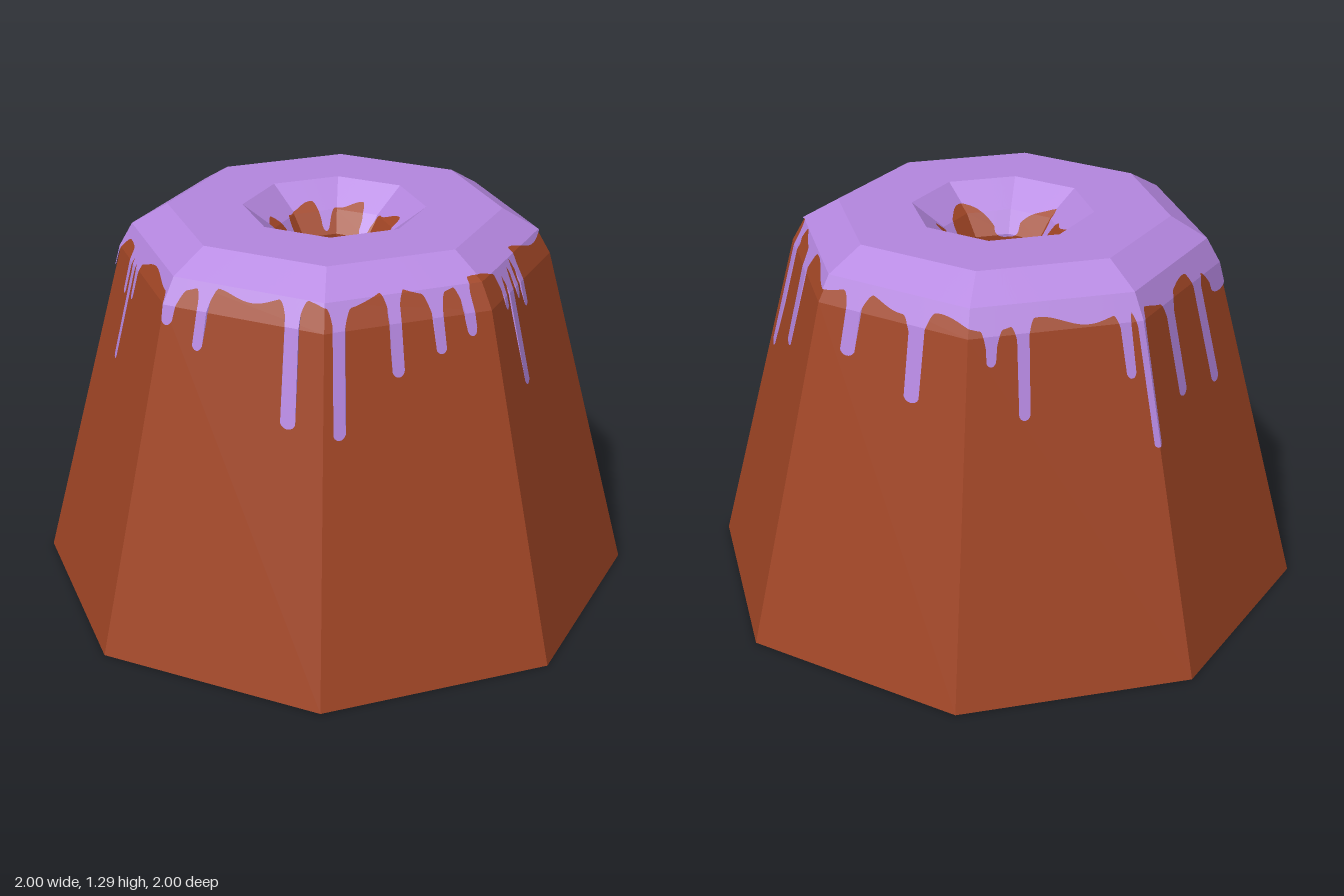
import * as THREE from 'three';

const SIDES = 8;
const TURN = 7.4; // degrees, twist of the octagon
const rad = THREE.MathUtils.degToRad;

// Profiles as [radius, height], from the top down
const OUTER = [[0.545, 1.29], [0.665, 1.22], [0.71, 1.14], [1.0085, 0]];
const INNER = [[0.305, 1.29], [0.2, 1.21], [0.15, 1.14], [0.12, 0]];

// Drips as [angle, half width in degrees, lowest height]; angle 0 is the front, 90 is +x
const OUTER_DRIPS = [
  [1.6, 1.3, 1.07], [16.5, 1.1, 1.1], [20.8, 1.5, 0.84], [25, 0.9, 1.1], [29, 1.3, 1.06],
  [58, 1.7, 0.78], [75, 2.6, 0.88], [108, 2.3, 1.0], [128, 2.3, 0.91], [148, 1.3, 1.05],
  [156, 1.5, 0.88], [183, 1.2, 0.97], [187, 1.1, 0.75], [201, 2, 0.84], [218, 2, 0.8],
  [229, 4, 1.06], [244.5, 1, 1.03], [248, 1, 0.82], [251.5, 1, 1.04], [279, 1.5, 1.08],
  [288, 1.5, 1.02], [314, 2, 0.84], [326, 1.5, 0.82], [341, 1.7, 0.98], [353, 1.6, 1.03],
];
const INNER_DRIPS = [
  [48, 7, 1.12], [105, 6, 1.14], [155, 5, 1.15], [210, 6, 1.14], [265, 6, 1.12], [325, 16, 1.13],
];

const outerBase = (a) => 1.19 + 0.03 * Math.cos(rad(a - 10)) + 0.015 * Math.sin(rad(a * 14));
const innerBase = (a) => 1.225 + 0.012 * Math.sin(rad(a * 7));

// Lower edge of the icing at an angle: round drip tips with flared roots
function edgeHeight(angle, base, drips) {
  const top = base(angle);
  let y = top;
  for (const [a, half, low] of drips) {
    const d = Math.abs(((angle - a + 540) % 360) - 180) / half;
    if (d <= 1) y = Math.min(y, low + 0.025 * (1 - Math.sqrt(1 - d * d)));
    else if (d < 2.2) y = Math.min(y, top - 0.05 * ((2.2 - d) / 1.2) ** 2);
  }
  return y;
}

// Point on the eight-sided surface at an angle and height
function surfacePoint(profile, angle, y, lift) {
  let k = 0;
  while (k < profile.length - 2 && y < profile[k + 1][1]) k++;
  const [r0, y0] = profile[k], [r1, y1] = profile[k + 1];
  const vertexRadius = r0 + (r1 - r0) * (y0 - y) / (y0 - y1) + lift;
  const step = 360 / SIDES;
  const off = ((angle - TURN + 720) % step) - step / 2;
  const r = vertexRadius * Math.cos(rad(step / 2)) / Math.cos(rad(off));
  return new THREE.Vector3(r * Math.sin(rad(angle)), y + 0.003, r * Math.cos(rad(angle)));
}

// Icing skin in narrow columns, running from the top rim to the drip edge
function icingSkin(profile, base, drips, lift) {
  const positions = [];
  const delta = 0.25;
  const tri = (a, b, c) => {
    const area = b.clone().sub(a).cross(c.clone().sub(a)).length();
    if (area < 1e-9) return;
    for (const p of lift > 0 ? [a, b, c] : [a, c, b]) positions.push(p.x, p.y, p.z);
  };
  const column = (angle) => {
    const low = edgeHeight(angle, base, drips);
    return profile.map(([, y]) => surfacePoint(profile, angle, Math.max(y, low), lift));
  };
  let left = column(TURN);
  for (let i = 1; i <= 360 / delta; i++) {
    const right = column(TURN + i * delta);
    for (let k = 0; k < profile.length - 1; k++) {
      tri(left[k], left[k + 1], right[k + 1]);
      tri(left[k], right[k + 1], right[k]);
    }
    left = right;
  }
  const g = new THREE.BufferGeometry();
  g.setAttribute('position', new THREE.Float32BufferAttribute(positions, 3));
  g.computeVertexNormals();
  return g;
}

function faceted(geometry) {
  const g = geometry.toNonIndexed();
  g.computeVertexNormals();
  return g;
}

export function createModel() {
  const group = new THREE.Group();
  group.name = 'icedBundtCake';
  const cake = new THREE.MeshStandardMaterial({ color: 0xa04525 });
  cake.name = 'brown cake';
  const icing = new THREE.MeshStandardMaterial({ color: 0xb587e0 });
  icing.name = 'lilac icing';
  const add = (name, geometry, material) => {
    const mesh = new THREE.Mesh(geometry, material);
    mesh.name = name;
    group.add(mesh);
  };

  // Cake body: closed base, sloping sides, shoulder and the centre hole
  const points = [[0, 0], ...[...OUTER].reverse(), ...INNER].map(([r, y]) => new THREE.Vector2(r, y));
  add('cakeBody', faceted(new THREE.LatheGeometry(points, SIDES, rad(TURN))), cake);

  // Flat icing on top
  const ring = new THREE.RingGeometry(0.301, 0.549, SIDES, 1, rad(TURN - 90));
  ring.rotateX(-Math.PI / 2).translate(0, 1.293, 0);
  add('icingTop', faceted(ring), icing);

  // Icing running down the outside and into the hole
  add('icingOuterDrips', icingSkin(OUTER, outerBase, OUTER_DRIPS, 0.004), icing);
  add('icingHoleDrips', icingSkin(INNER, innerBase, INNER_DRIPS, -0.004), icing);
  return group;
}
